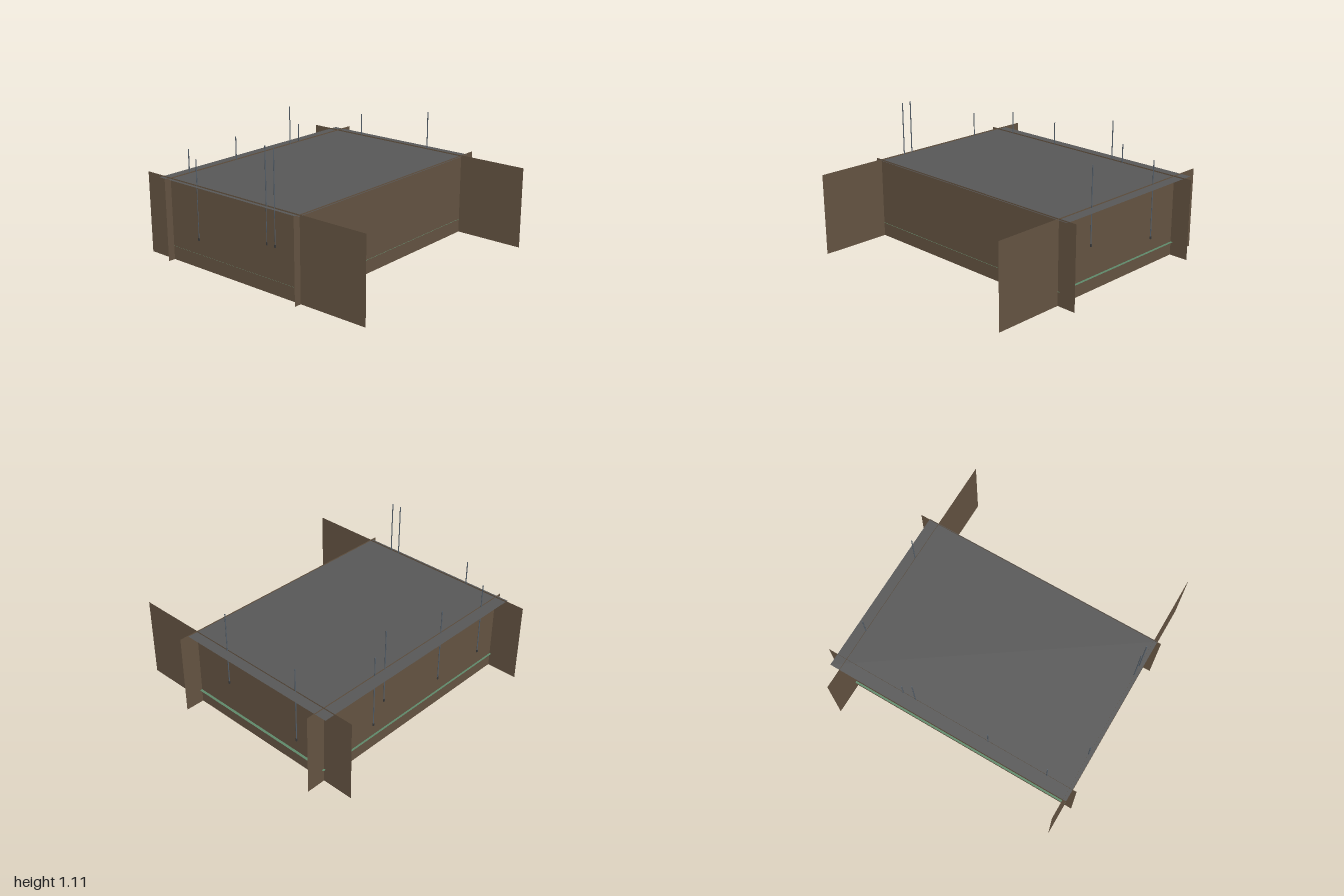
import * as THREE from 'three';

const mat = (name, color, side = THREE.FrontSide) => {
  const m = new THREE.MeshStandardMaterial({ color, side });
  m.name = name;
  return m;
};

export function createModel() {
  const model = new THREE.Group();
  model.name = 'room';
  const brown = mat('wall brown', 0x665543, THREE.DoubleSide);
  const grey = mat('roof grey', 0x585858, THREE.DoubleSide);
  const green = mat('floor green', 0x5f8a6b, THREE.DoubleSide);
  const teal = mat('panel teal', 0x3a7682, THREE.DoubleSide);
  const steel = mat('pole steel', 0x56606a);
  const dark = mat('dark metal', 0x3c3c3c);
  const leaf = mat('disc green', 0x6a9560);

  const add = (name, geo, material, x, y, z, parent = model) => {
    const mesh = new THREE.Mesh(geo, material);
    mesh.name = name;
    mesh.position.set(x, y, z);
    parent.add(mesh);
    return mesh;
  };

  // Four flat walls that cross each other at the corners
  const wall = new THREE.PlaneGeometry(2, 0.61);
  for (const [name, z] of [['frontWall', 0.463], ['backWall', -0.76]])
    add(name, wall, brown, 0, 0.41, z);
  for (const [name, x] of [['rightWall', -0.945], ['leftWall', 0.852]])
    add(name, wall, brown, x, 0.41, 0).rotation.y = Math.PI / 2;

  // Flat roof and floor
  const sheet = (name, material, y, [x0, x1], [z0, z1]) => {
    const geo = new THREE.PlaneGeometry(x1 - x0, z1 - z0).rotateX(-Math.PI / 2);
    add(name, geo, material, (x0 + x1) / 2, y, (z0 + z1) / 2);
  };
  sheet('roof', grey, 0.706, [-0.97, 0.93], [-0.85, 0.47]);
  sheet('floor', green, 0.208, [-0.947, 0.872], [-0.775, 0.467]);

  // Thin poles along the walls: x, z, bottom, top
  const poles = [
    [-0.943, 0.17, 0.45, 1.11], [-0.943, 0.245, 0.45, 1.11], [-0.943, -0.49, 0.32, 0.895],
    [0.854, 0.145, 0.44, 1.0], [0.854, -0.51, 0.31, 0.885],
    [-0.77, -0.762, 0.32, 0.885], [-0.308, -0.762, 0.32, 0.885],
    [0.277, -0.762, 0.45, 1.01], [0.377, -0.762, 0.3, 0.85],
  ];
  for (const [x, z, y0, y1] of poles) {
    add('pole', new THREE.CylinderGeometry(0.004, 0.004, y1 - y0, 12), steel, x, (y0 + y1) / 2, z);
    add('poleFoot', new THREE.BoxGeometry(0.012, 0.02, 0.012), dark, x, y0, z);
  }

  // Two hanging units, each a box with an upright panel turned by 45 degrees
  for (const [x, turn] of [[-0.025, -Math.PI / 4], [-0.33, Math.PI / 4]]) {
    const unit = new THREE.Group();
    unit.name = 'hangingUnit';
    unit.position.set(x, 0, 0.09);
    unit.rotation.y = turn;
    model.add(unit);
    add('unitBox', new THREE.BoxGeometry(0.115, 0.09, 0.115), brown, 0, 0.165, 0, unit);
    add('unitPanel', new THREE.PlaneGeometry(0.188, 0.118), teal, 0, 0.059, 0, unit);
    if (turn > 0)
      add('panelDisc', new THREE.CircleGeometry(0.027, 24), leaf, 0, 0.028, 0.002, unit);
  }

  // Fittings under the floor: x, z, width, depth
  const fittings = [
    [0.57, -0.38, 0.07, 0.055], [0.556, 0.233, 0.11, 0.085],
    [-0.077, -0.338, 0.19, 0.09], [-0.39, -0.327, 0.065, 0.045],
  ];
  for (const [x, z, w, d] of fittings)
    add('fitting', new THREE.BoxGeometry(w, 0.03, d), dark, x, 0.195, z);

  // Small studs under the floor
  const studs = [[0.34, -0.3], [0.32, -0.415], [0.2, -0.4], [-0.53, -0.384], [-0.73, -0.38], [-0.635, -0.22]];
  for (const [x, z] of studs)
    add('stud', new THREE.CylinderGeometry(0.008, 0.008, 0.012, 8), dark, x, 0.203, z);

  // Rectangular frame under the floor, two rails deep
  for (const y of [0.2, 0.175]) {
    for (const s of [-1, 1]) {
      add('frameRail', new THREE.BoxGeometry(0.22, 0.006, 0.01), dark, 0.567, y, -0.129 + s * 0.083);
      add('frameRail', new THREE.BoxGeometry(0.01, 0.006, 0.175), dark, 0.567 + s * 0.105, y, -0.129);
    }
  }
  return model;
}
